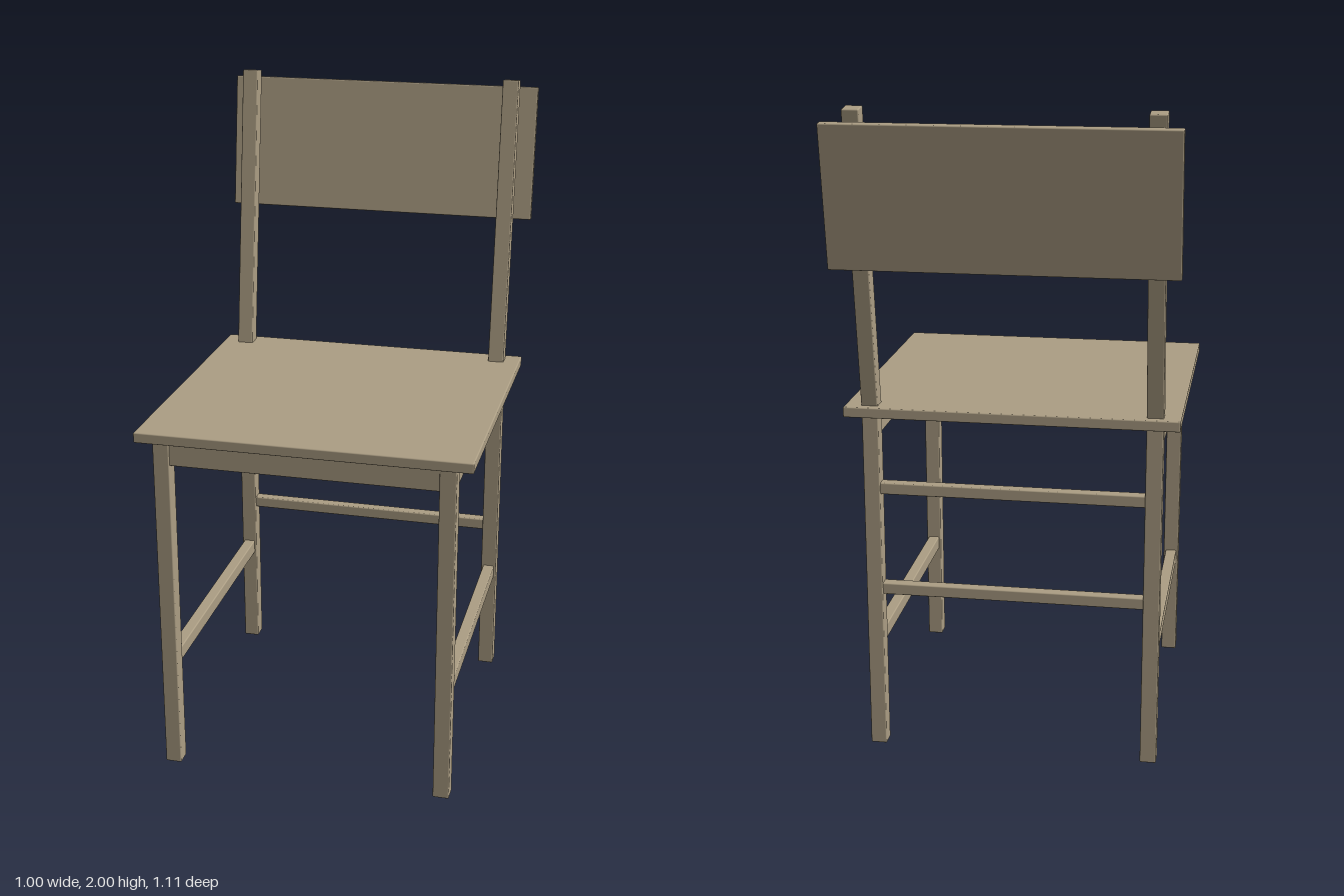
import * as THREE from 'three';
import { RoundedBoxGeometry } from 'three/addons/geometries/RoundedBoxGeometry.js';

export function createModel() {
  const chair = new THREE.Group();
  chair.name = 'chair';
  const wood = new THREE.MeshStandardMaterial({ color: 0xac9e84 });

  // Board with slightly eased edges, given by its extents on each axis
  function board(name, [x0, x1], [y0, y1], [z0, z1]) {
    const mesh = new THREE.Mesh(
      new RoundedBoxGeometry(x1 - x0, y1 - y0, z1 - z0, 2, 0.004), wood);
    mesh.position.set((x0 + x1) / 2, (y0 + y1) / 2, (z0 + z1) / 2);
    mesh.name = name;
    chair.add(mesh);
    return mesh;
  }

  // Board leaning back, running between two (y, z) points on its centre line
  function leaningBoard(name, x, width, depth, [yA, zA], [yB, zB]) {
    const length = Math.hypot(yB - yA, zB - zA);
    const mesh = new THREE.Mesh(
      new RoundedBoxGeometry(width, length, depth, 2, 0.004), wood);
    mesh.position.set(x, (yA + yB) / 2, (zA + zB) / 2);
    mesh.rotation.x = Math.atan2(zB - zA, yB - yA);
    mesh.name = name;
    chair.add(mesh);
  }

  board('seat', [-0.5, 0.5], [1.078, 1.11], [-0.39, 0.557]);

  // Legs, side aprons, side stretchers and back posts, mirrored
  for (const [label, s] of [['left', 1], ['right', -1]]) {
    const span = (a, b) => (s > 0 ? [a, b] : [-b, -a]);
    board(`${label}FrontLeg`, span(0.4, 0.45), [0, 1.08], [0.487, 0.537]);
    board(`${label}BackLeg`, span(0.4, 0.45), [0, 1.08], [-0.363, -0.313]);
    board(`${label}Apron`, span(0.41, 0.445), [1.005, 1.08], [-0.317, 0.491]);
    board(`${label}Stretcher`, span(0.407, 0.443), [0.33, 0.375], [-0.317, 0.491]);
    leaningBoard(`${label}BackPost`, s * 0.425, 0.05, 0.05, [1.098, -0.338], [1.9965, -0.463]);
  }

  // Front apron and the two back rails
  board('frontApron', [-0.404, 0.404], [1.005, 1.08], [0.497, 0.532]);
  for (const [name, y] of [['lowerBackRail', 0.505], ['upperBackRail', 0.83]])
    board(name, [-0.404, 0.404], [y, y + 0.036], [-0.356, -0.32]);

  // Backrest panel behind the posts
  leaningBoard('backrest', 0, 1, 0.026, [1.546, -0.486], [1.963, -0.545]);

  return chair;
}
